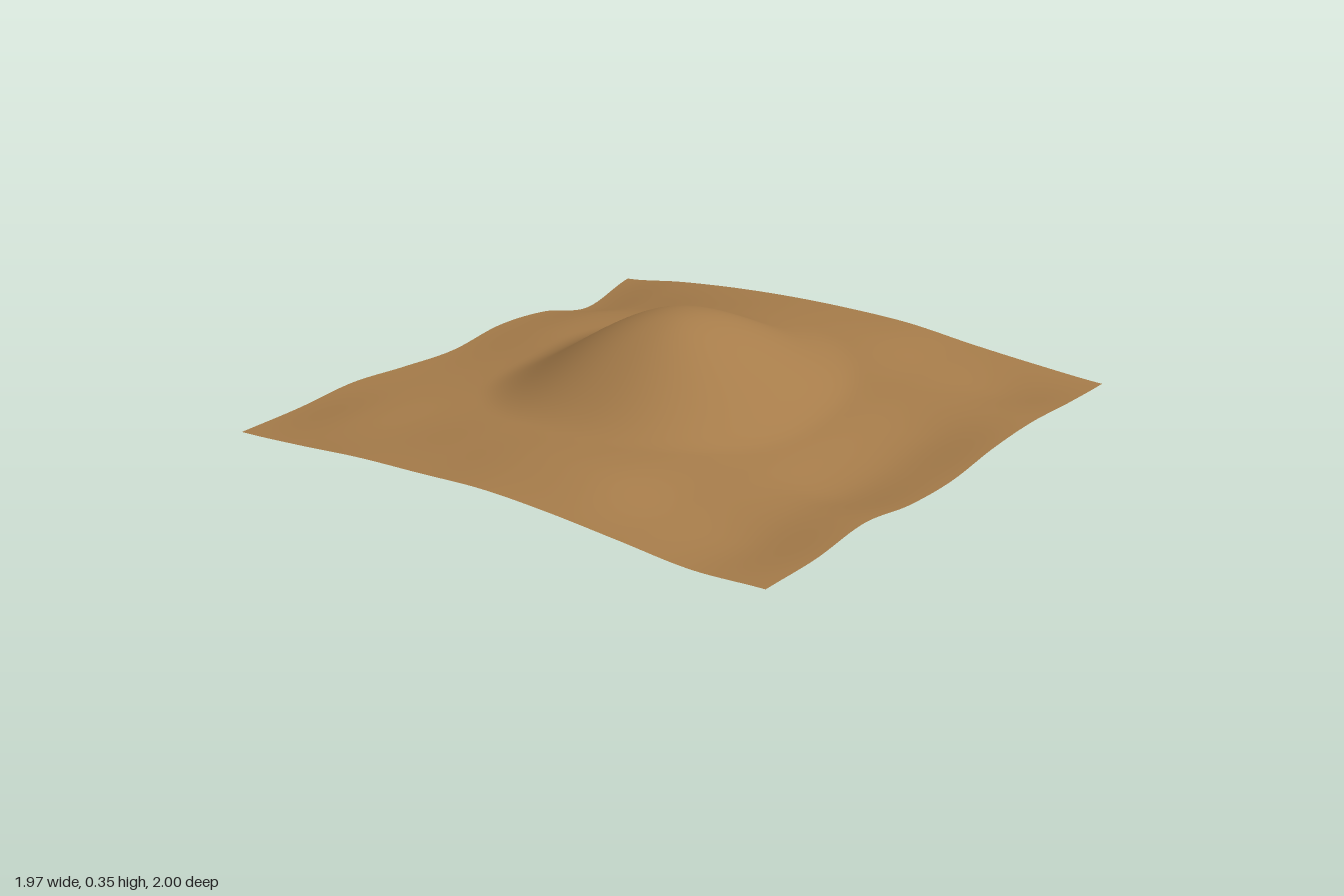
import * as THREE from 'three';

// Ground heights in centi-units: rows run back to front, columns from -x to +x
const GROUND = [
  [5, 8.5, 11, 12.5, 13, 12.5, 10, 8, 6.5],
  [0.5, 6, 11, 14, 14.5, 13, 9, 6, 7.5],
  [6, 10, 12, 13.5, 13.5, 12, 10, 8.5, 9],
  [8, 11, 12, 13, 13, 12, 9, 6, 8.5],
  [6, 8.5, 11, 12.5, 13, 12, 8, 4, 6.5],
  [7.5, 9, 11, 13, 13, 12, 8.5, 4.5, 7.5],
  [9.5, 11, 12, 13.5, 14, 13.5, 11, 9, 11],
  [8.5, 11.5, 12.5, 14.5, 16, 15, 10, 7, 9.5],
  [8.5, 10, 12, 13, 14, 13, 11, 9, 10],
];
const WIDTH = 1.97, DEPTH = 2;

// Smooth Catmull-Rom lookup along a row of values, t in 0..1
function spline(values, t) {
  const last = values.length - 1;
  const s = t * last, i = Math.min(Math.floor(s), last - 1), f = s - i;
  const at = (k) => values[Math.max(0, Math.min(last, k))];
  const [a, b, c, d] = [at(i - 1), at(i), at(i + 1), at(i + 2)];
  return b + 0.5 * f * (c - a + f * (2 * a - 5 * b + 4 * c - d + f * (3 * (b - c) + d - a)));
}

// Lopsided mound: steeper towards the front and the +x side
function hill(x, z) {
  const dx = x + 0.08, dz = z + 0.05;
  const u = Math.abs(dx) / (dx > 0 ? 0.54 : 0.59);
  const v = Math.abs(dz) / (dz > 0 ? 0.61 : 0.69);
  const r2 = Math.pow(u ** 2.25 + v ** 2.25, 2 / 2.25);
  return r2 < 1 ? 0.23 * (1 - r2) ** 2 : 0;
}

function height(x, z) {
  const u = x / WIDTH + 0.5, v = z / DEPTH + 0.5;
  const ground = spline(GROUND.map((row) => spline(row, u)), v) / 100;
  return Math.max(0, ground + hill(x, z));
}

export function createModel() {
  const group = new THREE.Group();
  group.name = 'terrain';

  // Flat sheet lifted into a rolling surface
  const geometry = new THREE.PlaneGeometry(WIDTH, DEPTH, 96, 96);
  geometry.rotateX(-Math.PI / 2);
  const p = geometry.attributes.position;
  for (let i = 0; i < p.count; i++) p.setY(i, height(p.getX(i), p.getZ(i)));
  geometry.computeVertexNormals();

  const material = new THREE.MeshStandardMaterial({ color: 0xa67c4a, side: THREE.DoubleSide });
  const mound = new THREE.Mesh(geometry, material);
  mound.name = 'sandyGround';
  group.add(mound);
  return group;
}
